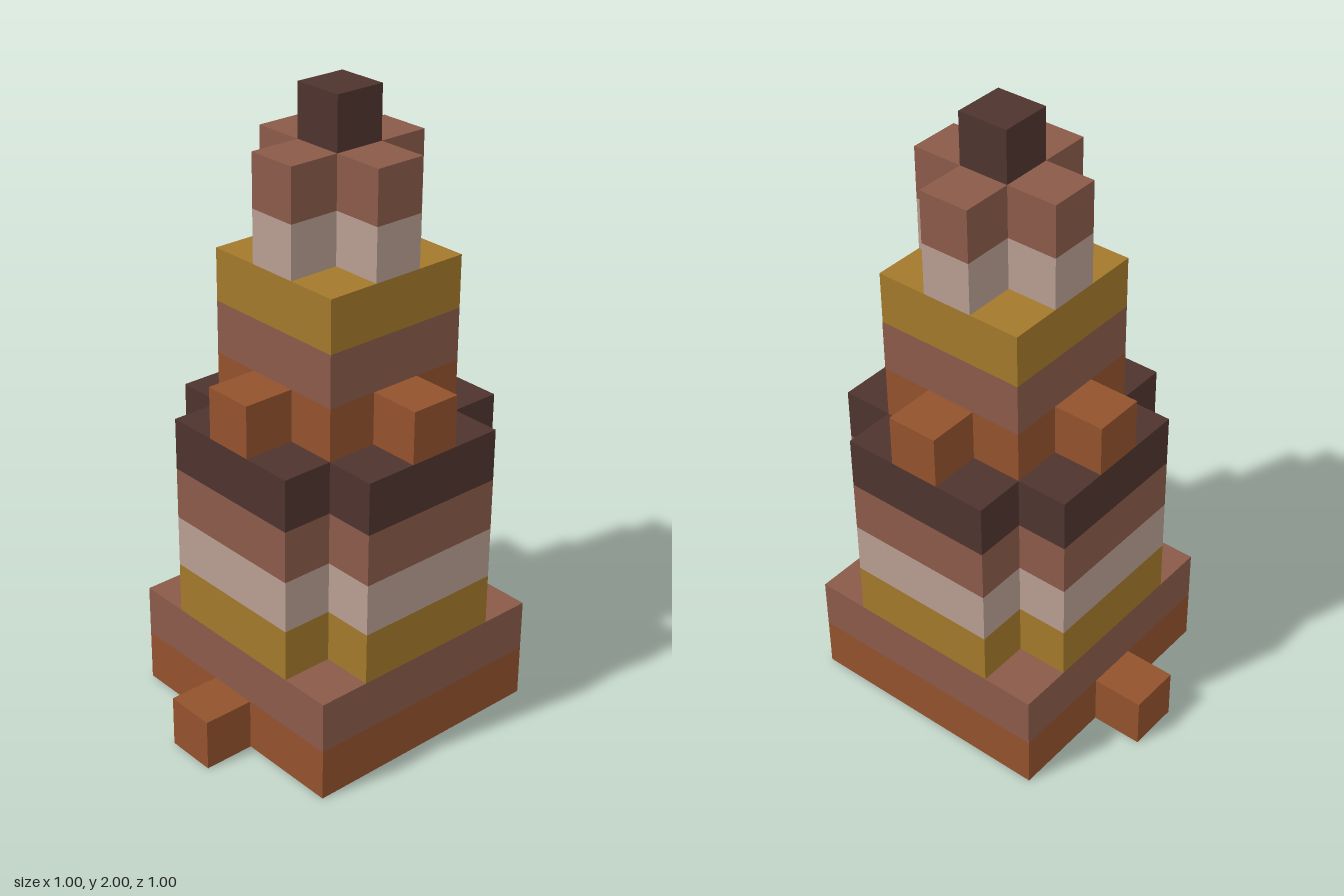
import * as THREE from 'three';

const U = 1 / 6; // one block

const mat = (name, color) => {
  const m = new THREE.MeshStandardMaterial({ color });
  m.name = name;
  return m;
};

// Square slab, optionally with one block cut out of each corner to leave a cross
function slabGeometry(width, notch) {
  const h = (width / 2) * U;
  if (!notch) return new THREE.BoxGeometry(2 * h, U, 2 * h);
  const k = h - notch * U;
  const shape = new THREE.Shape([
    [k, -h], [k, -k], [h, -k], [h, k], [k, k], [k, h],
    [-k, h], [-k, k], [-h, k], [-h, -k], [-k, -k], [-k, -h],
  ].map(([x, y]) => new THREE.Vector2(x, y)));
  const geo = new THREE.ExtrudeGeometry(shape, { depth: U, bevelEnabled: false });
  return geo.translate(0, 0, -U / 2).rotateX(-Math.PI / 2);
}

export function createModel() {
  const group = new THREE.Group();
  group.name = 'steppedTower';

  const rust = mat('rust', 0x93522d);
  const brown = mat('brown', 0x8a5a48);
  const ochre = mat('ochre', 0xa3792b);
  const cream = mat('cream', 0xb89e91);
  const dark = mat('darkBrown', 0x4e342e);

  // Tower axis sits half a block off centre
  const tower = new THREE.Group();
  tower.name = 'tower';
  tower.position.set(U / 2, 0, U / 2);
  group.add(tower);

  const add = (name, geo, material, x, level, z) => {
    const mesh = new THREE.Mesh(geo, material);
    mesh.name = name;
    mesh.position.set(x * U, (level + 0.5) * U, z * U);
    tower.add(mesh);
  };

  // Layers from the ground up: name, width in blocks, corner notch, colour
  const layers = [
    ['baseLower', 5, 0, rust],
    ['baseUpper', 5, 0, brown],
    ['bodyOchreBand', 5, 1, ochre],
    ['bodyCreamBand', 5, 1, cream],
    ['bodyBrownBand', 5, 1, brown],
    ['bodyDarkBand', 5, 1, dark],
    ['neckRustBand', 3, 0, rust],
    ['neckBrownBand', 3, 0, brown],
    ['neckOchreBand', 3, 0, ochre],
    ['spireCreamBand', 3, 1, cream],
    ['spireBrownBand', 3, 1, brown],
    ['tip', 1, 0, dark],
  ];
  layers.forEach(([name, width, notch, material], level) =>
    add(name, slabGeometry(width, notch), material, 0, level, 0));

  // Single blocks: four around the neck, two at the foot
  const block = slabGeometry(1, 0);
  for (const [x, z] of [[2, 0], [-2, 0], [0, 2], [0, -2]]) add('neckBlock', block, rust, x, 6, z);
  for (const [x, z] of [[-3, 0], [0, -3]]) add('footBlock', block, rust, x, 0, z);

  return group;
}
